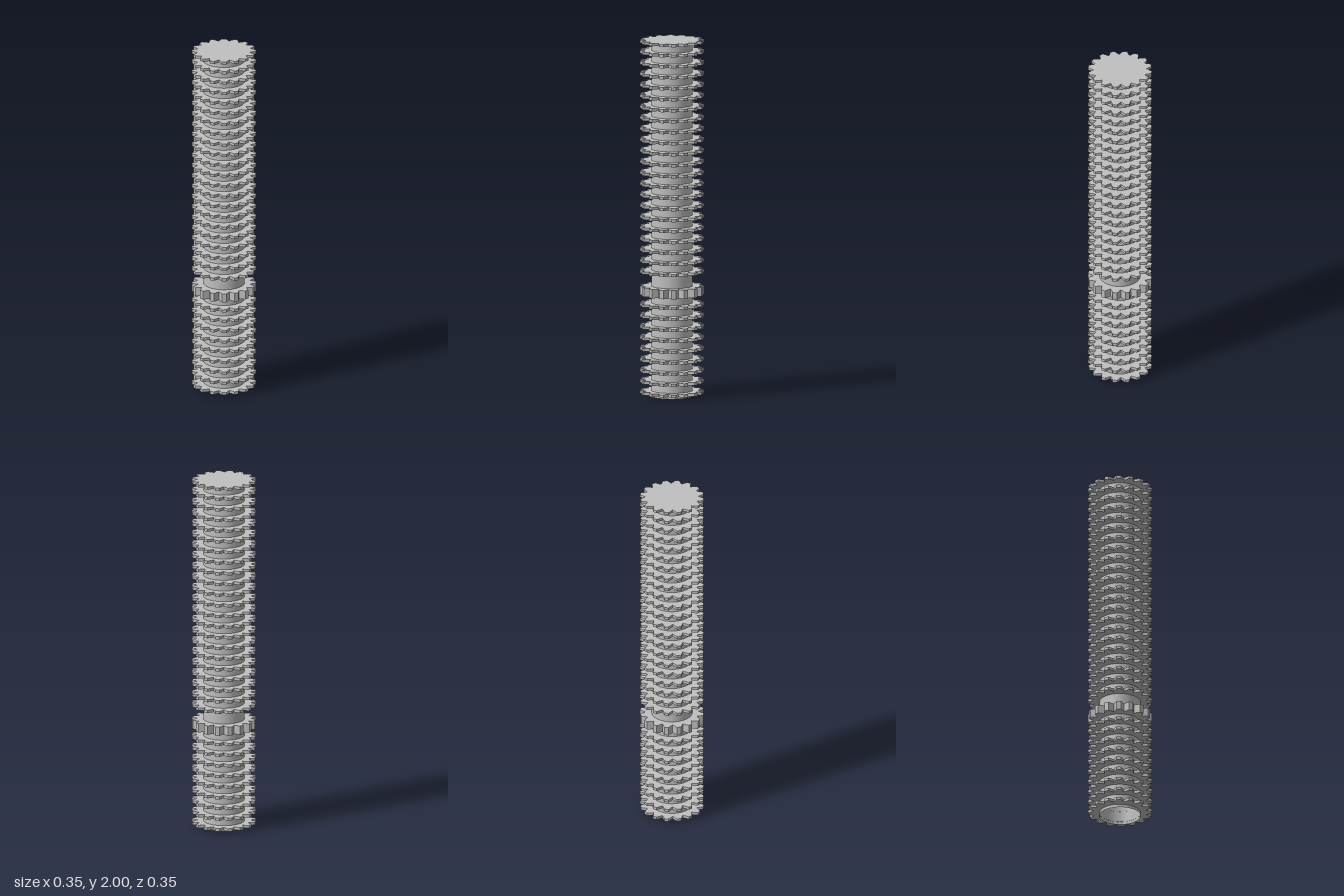
import * as THREE from 'three';

const TEETH = 16, ROOT = 0.147, TIP = 0.178, SHAFT = 0.115;

// Toothed outline: a sharp valley, then a flat-tipped tooth, repeated round the circle
function gearShape(hollow) {
  const points = [];
  const step = (Math.PI * 2) / TEETH;
  const add = (r, a) => points.push(new THREE.Vector2(r * Math.cos(a), r * Math.sin(a)));
  for (let i = 0; i < TEETH; i++) {
    add(ROOT, i * step);
    add(TIP, (i + 0.33) * step);
    add(TIP, (i + 0.67) * step);
  }
  const shape = new THREE.Shape(points);
  if (hollow) shape.holes.push(new THREE.Path().absarc(0, 0, SHAFT - 0.001, 0, Math.PI * 2, true));
  return shape;
}

// Flat gear of the given height, lying level and centred on y = 0
function gearGeometry(height, hollow) {
  const geometry = new THREE.ExtrudeGeometry(gearShape(hollow), {
    depth: height, bevelEnabled: false, curveSegments: 24,
  });
  geometry.translate(0, 0, -height / 2);
  geometry.rotateX(-Math.PI / 2);
  return geometry;
}

export function createModel() {
  const model = new THREE.Group();
  model.name = 'gearedShaft';
  const grey = new THREE.MeshStandardMaterial({ color: 0xc0c0c0, side: THREE.DoubleSide });
  grey.name = 'grey';

  const addPart = (name, geometry, y) => {
    const mesh = new THREE.Mesh(geometry, grey);
    mesh.name = name;
    mesh.position.y = y;
    model.add(mesh);
  };

  // Smooth tubular shaft, open at the bottom and closed by the top gear
  addPart('shaft', new THREE.CylinderGeometry(SHAFT, SHAFT, 1.99, 48, 1, true), 0.995);

  // Thin gears below and above the thick one
  const thin = gearGeometry(0.016, true);
  for (let i = 0; i < 9; i++) addPart('lowerGear' + (i + 1), thin, 0.025 + i * 0.0616);
  for (let i = 0; i < 21; i++) addPart('upperGear' + (i + 1), thin, 0.703 + i * 0.0616);

  // Thick gear and solid end gear
  addPart('thickGear', gearGeometry(0.05, true), 0.595);
  addPart('topGear', gearGeometry(0.015, false), 1.9925);
  return model;
}
